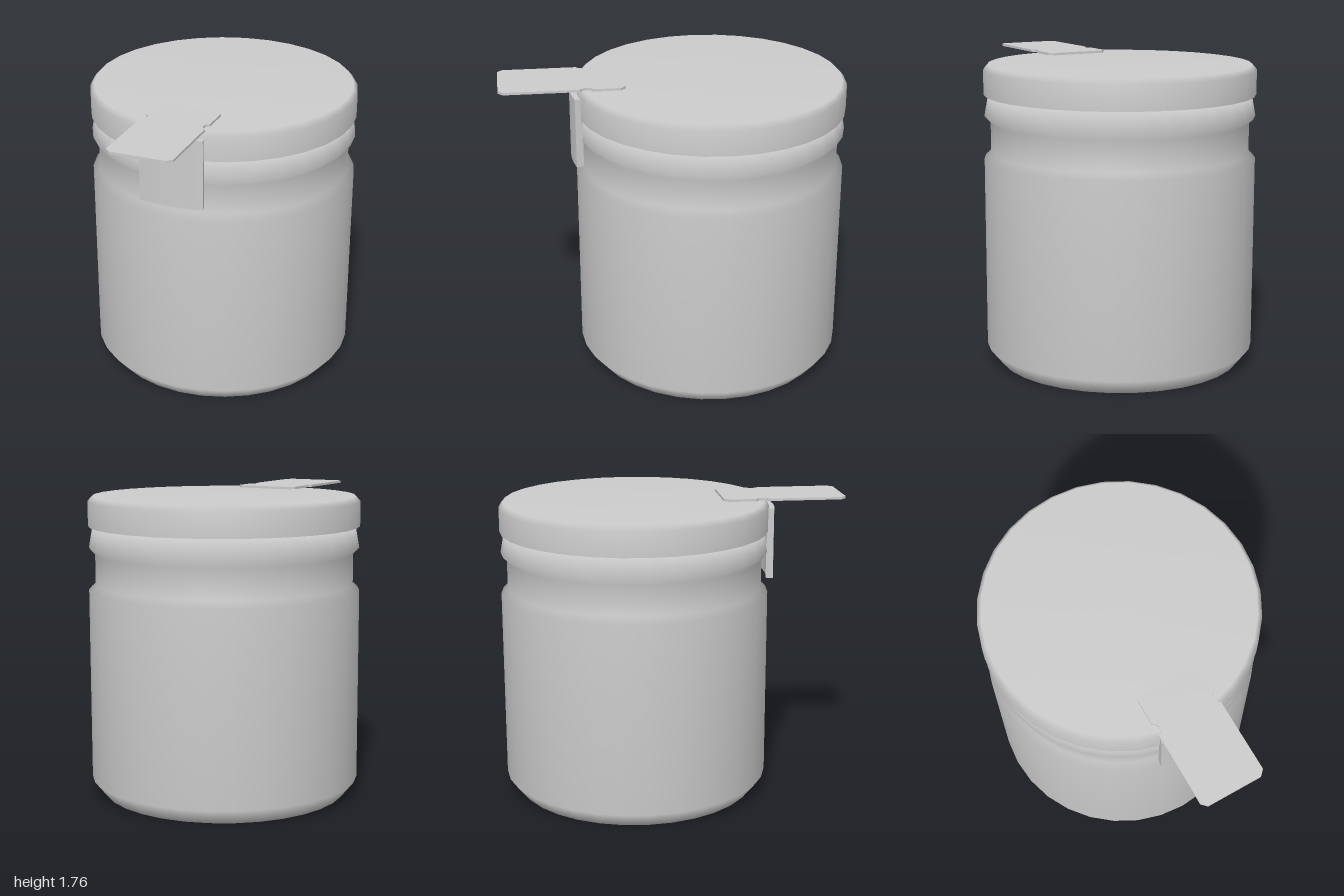
import * as THREE from 'three';

const AXIS_Z = -0.217; // jar axis sits behind the centre because the tab sticks out in front
const SEGMENTS = 32;

const material = new THREE.MeshStandardMaterial({ color: 0xcccccc });

function addMesh(group, name, geometry) {
  const mesh = new THREE.Mesh(geometry, material);
  mesh.name = name;
  group.add(mesh);
  return mesh;
}

function lathe(profile) {
  return new THREE.LatheGeometry(profile.map(([r, y]) => new THREE.Vector2(r, y)), SEGMENTS);
}

// Extrudes a plan outline (x, z) downwards from the height top
function slab(shape, top, depth) {
  const geometry = new THREE.ExtrudeGeometry(shape, { depth, bevelEnabled: false, curveSegments: 8 });
  return geometry.rotateX(Math.PI / 2).translate(0, top, 0);
}

export function createModel() {
  const model = new THREE.Group();
  model.name = 'jar';

  // Body with chamfered foot, recessed neck and flared rim
  addMesh(model, 'body', lathe([
    [0, 0], [0.71, 0], [0.783, 0.09], [0.783, 1.2], [0.745, 1.235],
    [0.745, 1.41], [0.78, 1.445], [0.757, 1.57], [0, 1.57],
  ])).position.z = AXIS_Z;

  // Lid; the doubled point keeps its lower edge sharp
  addMesh(model, 'lid', lathe([
    [0.74, 1.568], [0.783, 1.568], [0.783, 1.568], [0.783, 1.71], [0.757, 1.74], [0, 1.74],
  ])).position.z = AXIS_Z;

  // Curved clasp plate wrapping the front of the neck
  const half = 0.235;
  const plate = new THREE.Shape();
  plate.absarc(0, 0, 0.814, Math.PI / 2 - half, Math.PI / 2 + half, false);
  plate.absarc(0, 0, 0.772, Math.PI / 2 + half, Math.PI / 2 - half, true);
  plate.closePath();
  addMesh(model, 'claspPlate', slab(plate, 1.7, 0.41)).position.z = AXIS_Z;

  // Flat tab with clipped corners and a small notch on each side
  const side = [
    [0.16, 0.285], [0.19, 0.315], [0.19, 0.47], [0.168, 0.485],
    [0.165, 0.51], [0.175, 0.535], [0.19, 0.545], [0.19, 0.97], [0.16, 1],
  ];
  const outline = [...side, ...side.map(([x, z]) => [-x, z]).reverse()];
  const tab = new THREE.Shape(outline.map(([x, z]) => new THREE.Vector2(x, z)));
  addMesh(model, 'claspTab', slab(tab, 1.759, 0.014));

  return model;
}
